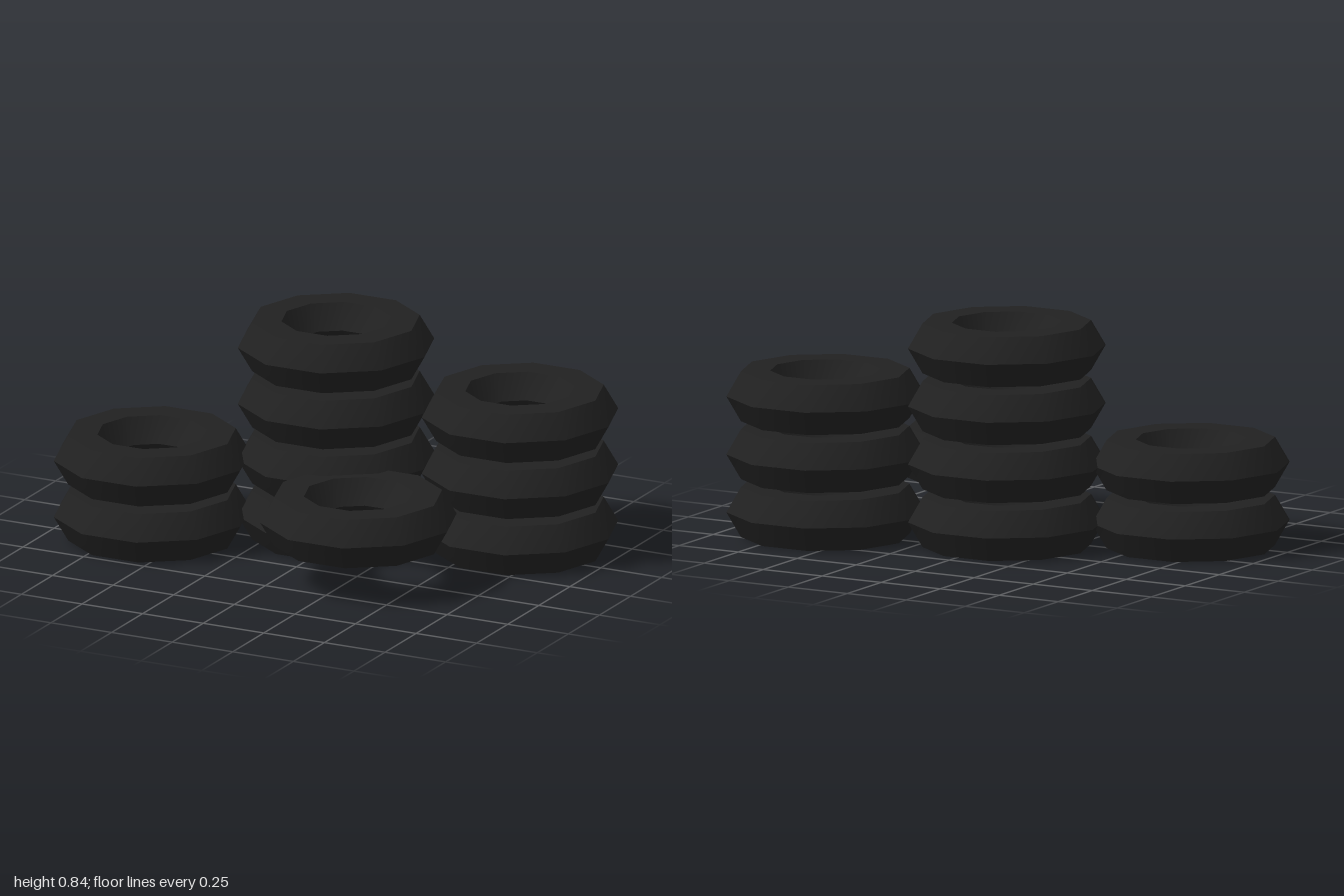
import * as THREE from 'three';
import { toCreasedNormals } from 'three/addons/utils/BufferGeometryUtils.js';

const HALF_HEIGHT = 0.0935; // half the thickness of one tyre
const SPACING = 0.2165;     // vertical distance between stacked tyres

// Stacks: centre x, centre z, height of lowest tyre's middle, number of tyres
const STACKS = [
  { name: 'rightStack', x: -0.635, z: 0.174, y: HALF_HEIGHT, count: 2 },
  { name: 'middleStack', x: -0.04, z: -0.146, y: HALF_HEIGHT, count: 4 },
  { name: 'leftStack', x: 0.635, z: -0.31, y: HALF_HEIGHT, count: 3 },
  { name: 'frontTyre', x: 0.285, z: 0.307, y: 0.247, count: 1 },
];

export function createModel() {
  const model = new THREE.Group();
  model.name = 'tyreStacks';

  const rubber = new THREE.MeshStandardMaterial({ color: 0x212121 });
  rubber.name = 'black rubber';

  // Ten-sided ring with a hexagonal section: smooth around, sharp across
  const ring = new THREE.TorusGeometry(0.257, 0.108, 6, 10).rotateX(-Math.PI / 2);
  const tyreGeometry = toCreasedNormals(ring, 0.8);

  for (const { name, x, z, y, count } of STACKS) {
    const stack = new THREE.Group();
    stack.name = name;
    stack.position.set(x, y, z);
    for (let i = 0; i < count; i++) {
      const tyre = new THREE.Mesh(tyreGeometry, rubber);
      tyre.name = 'tyre';
      tyre.position.y = i * SPACING;
      stack.add(tyre);
    }
    model.add(stack);
  }
  return model;
}
